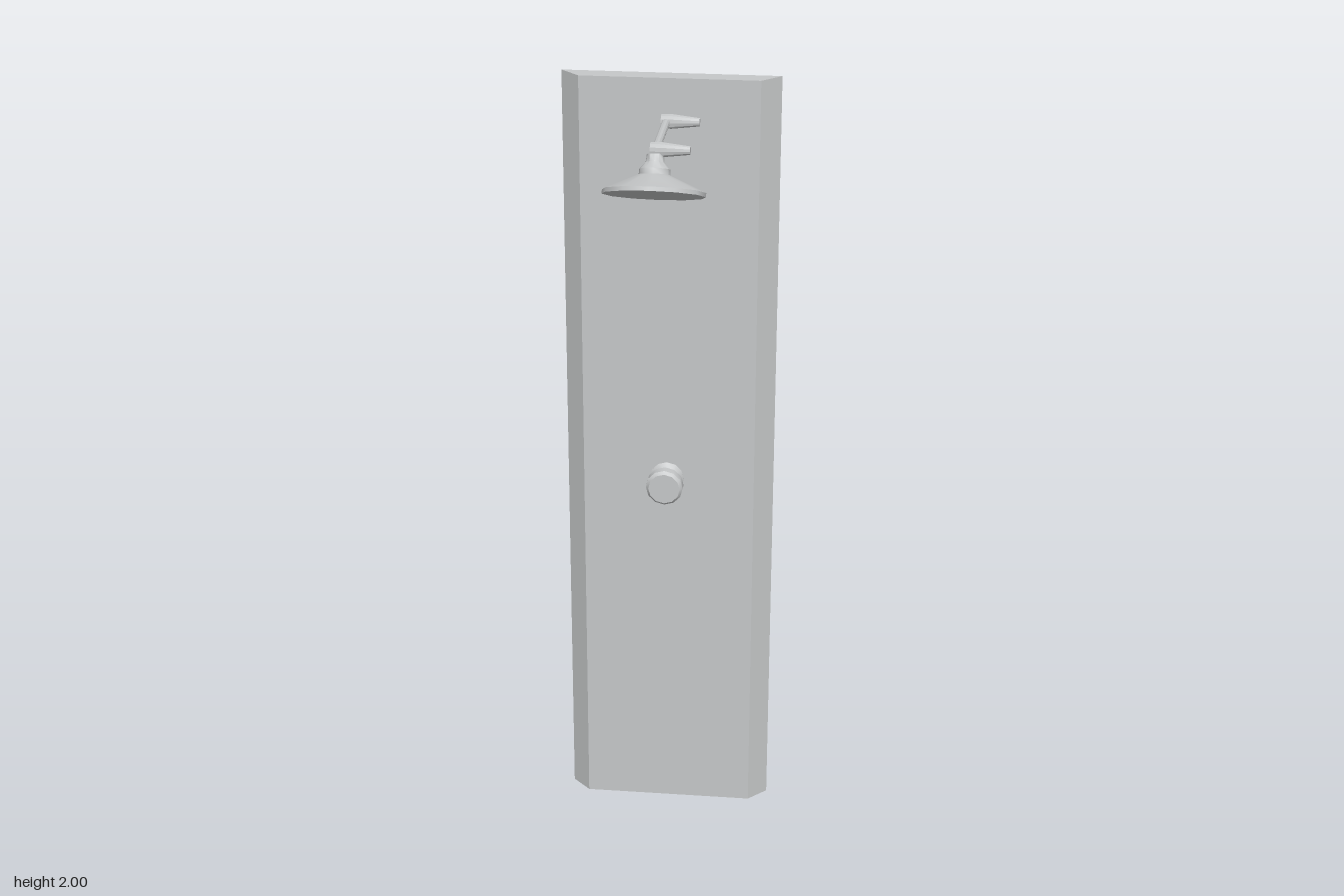
import * as THREE from 'three';
import { toCreasedNormals } from 'three/addons/utils/BufferGeometryUtils.js';

const SIDES = 12;
const CENTRE_X = -0.005;
const ARM_Y = 1.9;

// Turned part: profile of [radius, height] pairs, listed from bottom to top
function turned(name, profile, material) {
  const points = profile.map(([r, h]) => new THREE.Vector2(r, h));
  const geometry = toCreasedNormals(new THREE.LatheGeometry(points, SIDES), 0.6);
  const mesh = new THREE.Mesh(geometry, material);
  mesh.name = name;
  return mesh;
}

// Shallow tray with flared sides and an open back
function panelGeometry() {
  const ring = (halfWidth, z) => [
    [-halfWidth, 0, z], [halfWidth, 0, z], [halfWidth, 2, z], [-halfWidth, 2, z],
  ];
  const front = ring(0.218, -0.175);
  const back = ring(0.265, -0.222);
  const positions = [];
  const quad = (a, b, c, d) => positions.push(...a, ...b, ...c, ...a, ...c, ...d);
  quad(...front);
  for (let i = 0; i < 4; i++) {
    const j = (i + 1) % 4;
    quad(back[i], back[j], front[j], front[i]);
  }
  const geometry = new THREE.BufferGeometry();
  geometry.setAttribute('position', new THREE.Float32BufferAttribute(positions, 3));
  geometry.computeVertexNormals();
  return geometry;
}

export function createModel() {
  const model = new THREE.Group();
  model.name = 'showerPanel';
  const metal = new THREE.MeshStandardMaterial({ color: 0xc6c8c9, side: THREE.DoubleSide });
  metal.name = 'brushedMetal';

  // Wall panel
  const panel = new THREE.Mesh(panelGeometry(), metal);
  panel.name = 'wallPanel';
  model.add(panel);

  // Control knob, turned about the z axis, its base just piercing the panel
  const knob = turned('controlKnob', [
    [0, 0], [0.044, 0], [0.044, 0.003], [0.029, 0.014], [0.029, 0.04],
    [0.047, 0.04], [0.047, 0.062], [0.04, 0.07], [0, 0.07],
  ], metal);
  knob.rotation.x = Math.PI / 2;
  knob.position.set(CENTRE_X, 0.955, -0.177);
  model.add(knob);

  // Horizontal arm
  const arm = turned('showerArm', [[0, 0], [0.01, 0], [0.01, 0.224], [0, 0.224]], metal);
  arm.rotation.x = Math.PI / 2;
  arm.position.set(CENTRE_X, ARM_Y, -0.155);
  model.add(arm);

  // Tapered levers at both ends of the arm
  for (const [name, z] of [['wallLever', -0.157], ['headLever', 0.069]]) {
    const lever = turned(name, [
      [0, 0], [0.017, 0], [0.018, 0.024], [0.01, 0.092], [0, 0.092],
    ], metal);
    lever.rotation.z = -Math.PI / 2;
    lever.position.set(-0.017, ARM_Y, z);
    model.add(lever);
  }

  // Tilted shower head with rim, cone and neck
  const head = turned('showerHead', [
    [0, 0], [0.1205, 0], [0.1205, 0.01], [0.037, 0.047],
    [0.036, 0.06], [0.022, 0.076], [0.02, 0.094], [0, 0.094],
  ], metal);
  head.rotation.x = -0.405;
  head.position.set(CENTRE_X, 1.803, 0.109);
  model.add(head);

  return model;
}
